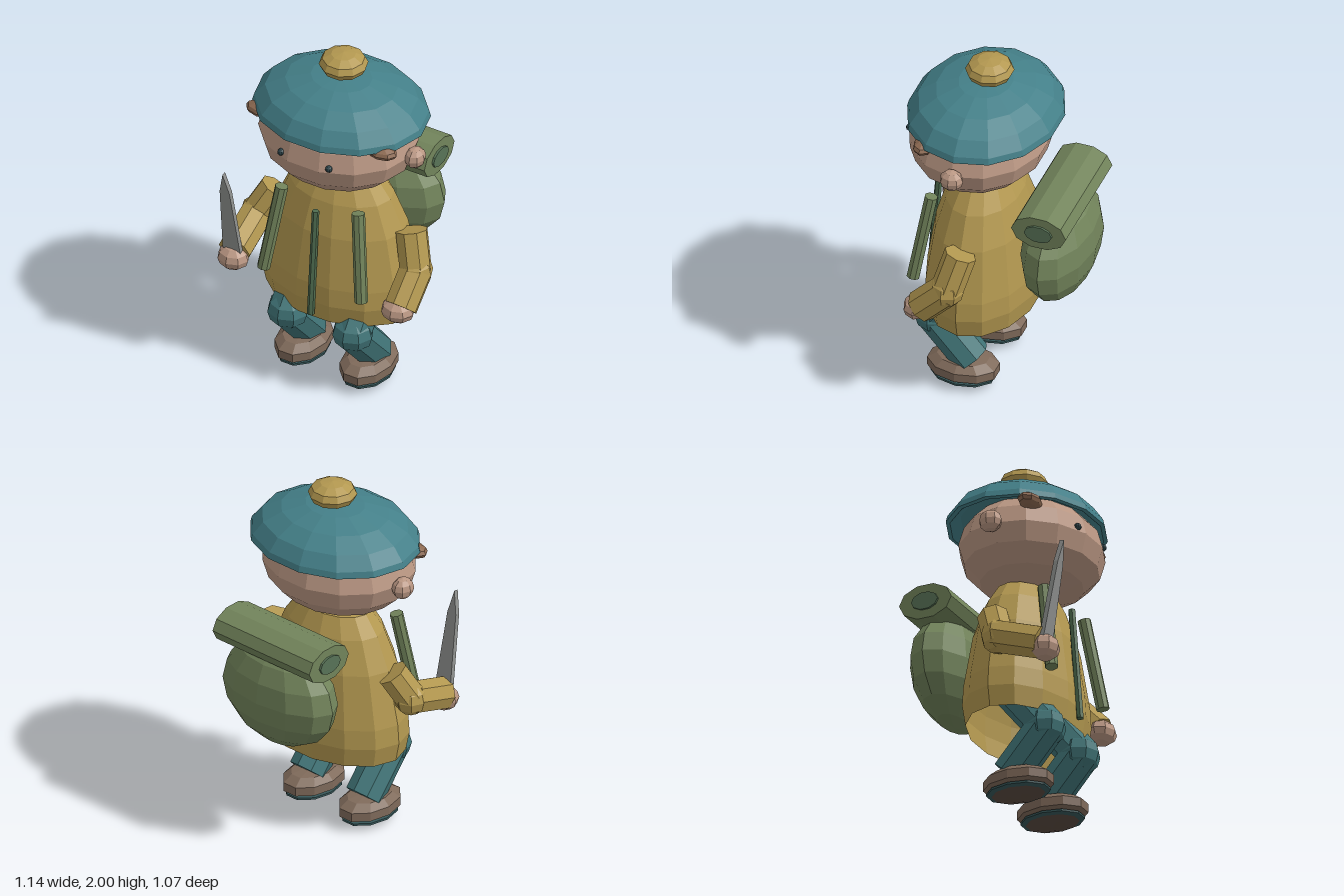
import * as THREE from 'three';

const V = (x, y, z) => new THREE.Vector3(x, y, z);
const mat = (color, side = THREE.FrontSide) =>
  new THREE.MeshStandardMaterial({ color, flatShading: true, side });

const M = {
  hat: mat(0x448089), coat: mat(0xb39850, THREE.DoubleSide), skin: mat(0xba9783), hair: mat(0x8d6a52),
  eye: mat(0x2c4248), trousers: mat(0x417578), shoe: mat(0x7f6a5a), sole: mat(0x365658), tread: mat(0x5a4a40),
  pack: mat(0x72845b), packDark: mat(0x587357), zip: mat(0x4f6d50), blade: mat(0x909290),
};

export function createModel() {
  const root = new THREE.Group();

  const add = (name, geometry, material, parent = root) => {
    const mesh = new THREE.Mesh(geometry, material);
    mesh.name = name;
    parent.add(mesh);
    return mesh;
  };

  // Faceted ellipsoid
  const ball = (name, pos, radii, material, sides = 10, rings = 6, parent = root) => {
    const mesh = add(name, new THREE.SphereGeometry(1, sides, rings), material, parent);
    mesh.position.copy(pos);
    mesh.scale.set(...radii);
    return mesh;
  };

  // Straight faceted rod between two points
  const rod = (name, a, b, r, material, sides = 8, parent = root) => {
    const d = b.clone().sub(a);
    const mesh = add(name, new THREE.CylinderGeometry(r, r, d.length(), sides), material, parent);
    mesh.position.copy(a).add(b).multiplyScalar(0.5);
    mesh.quaternion.setFromUnitVectors(V(0, 1, 0), d.normalize());
    return mesh;
  };

  // Lathe squashed to an oval in depth, with a flat facet at the front
  const oval = (name, profile, sides, depth, pos, material, parent = root) => {
    const points = profile.map(([r, y]) => new THREE.Vector2(r, y));
    const mesh = add(name, new THREE.LatheGeometry(points, sides, Math.PI / 2), material, parent);
    mesh.position.copy(pos);
    mesh.scale.z = depth;
    return mesh;
  };

  // Hat with pompom
  oval('hat', [[0, 1.74], [0.4, 1.69], [0.465, 1.645], [0.49, 1.65], [0.48, 1.685], [0.42, 1.757],
    [0.31, 1.817], [0.17, 1.857], [0, 1.872]], 14, 0.845, V(0, 0, 0.08), M.hat);
  ball('pompom', V(0, 1.93, 0.06), [0.132, 0.07, 0.13], M.coat, 10, 6);

  // Head
  ball('head', V(0, 1.515, 0.11), [0.44, 0.27, 0.378], M.skin, 14, 8);
  for (const s of [1, -1]) {
    ball('ear', V(s * 0.465, 1.515, 0.1), [0.055, 0.06, 0.065], M.skin, 8, 6);
    ball('eye', V(s * 0.147, 1.54, 0.455), [0.02, 0.02, 0.02], M.eye, 8, 6);
    ball('hairTuft', V(s * 0.37, 1.632, 0.285), [0.09, 0.038, 0.06], M.hair, 8, 6);
  }

  // Coat, open at the hem
  oval('coat', [[0.432, 0.46], [0.455, 0.57], [0.447, 0.68], [0.38, 0.98], [0.3, 1.16],
    [0.22, 1.265], [0, 1.275]], 14, 0.67, V(0, 0, 0.08), M.coat);
  rod('zip', V(0, 1.14, 0.345), V(0, 0.5, 0.395), 0.02, M.zip, 6);
  for (const s of [1, -1])
    rod('strap', V(s * 0.235, 1.185, 0.3), V(s * 0.3, 0.68, 0.378), 0.036, M.pack, 8);

  // Arms: the left hangs down, the right reaches forward
  const arm = (name, shoulder, elbow, wrist, hand, handSize) => {
    const g = new THREE.Group();
    g.name = name;
    root.add(g);
    rod('upperSleeve', shoulder, elbow, 0.088, M.coat, 8, g);
    ball('elbow', elbow, [0.094, 0.094, 0.094], M.coat, 8, 6, g);
    rod('lowerSleeve', elbow, wrist, 0.092, M.coat, 8, g);
    ball('hand', hand, handSize, M.skin, 8, 6, g);
  };
  arm('leftArm', V(0.42, 1.0, 0.065), V(0.48, 0.79, 0.12), V(0.475, 0.64, 0.265),
    V(0.468, 0.632, 0.285), [0.095, 0.066, 0.08]);
  arm('rightArm', V(-0.4, 0.98, 0.085), V(-0.475, 0.83, 0.15), V(-0.463, 0.745, 0.405),
    V(-0.46, 0.715, 0.42), [0.09, 0.07, 0.08]);

  // Blade held upright in the right hand
  const outline = new THREE.Shape([[-0.055, 0], [0.055, 0], [0.03, 0.46], [0, 0.59], [-0.03, 0.46]]
    .map(([x, y]) => new THREE.Vector2(x, y)));
  const bladeGeo = new THREE.ExtrudeGeometry(outline, { depth: 0.026, bevelEnabled: false });
  bladeGeo.translate(0, 0, -0.013);
  const blade = add('blade', bladeGeo, M.blade);
  blade.position.set(-0.46, 0.738, 0.422);
  blade.rotation.x = 0.166;

  // Legs with bent knees, and shoes
  for (const s of [1, -1]) {
    const leg = new THREE.Group();
    leg.name = s > 0 ? 'leftLeg' : 'rightLeg';
    leg.position.x = s * 0.2;
    root.add(leg);
    const knee = V(0, 0.39, 0.295);
    rod('thigh', V(0, 0.66, 0.08), knee, 0.105, M.trousers, 8, leg);
    ball('knee', knee, [0.115, 0.105, 0.108], M.trousers, 8, 6, leg);
    rod('shin', knee, V(0, 0.15, 0.085), 0.105, M.trousers, 8, leg);
    oval('shoe', [[0, 0.05], [0.105, 0.053], [0.137, 0.07], [0.137, 0.12], [0.1, 0.155], [0, 0.17]],
      10, 1.45, V(0, 0, 0.132), M.shoe, leg);
    oval('sole', [[0, 0.025], [0.11, 0.028], [0.127, 0.038], [0.127, 0.05], [0, 0.06]],
      10, 1.42, V(0, 0, 0.132), M.sole, leg);
    oval('tread', [[0, 0], [0.055, 0.01], [0.112, 0.03], [0, 0.035]],
      10, 1.42, V(0, 0, 0.132), M.tread, leg);
  }

  // Backpack with a bedroll on top
  ball('backpack', V(0, 0.9, -0.348), [0.375, 0.3, 0.19], M.pack, 12, 8);
  const roll = (name, length, ry, rz, material) => {
    const geo = new THREE.CylinderGeometry(1, 1, length, 10).rotateZ(Math.PI / 2);
    const mesh = add(name, geo, material);
    mesh.position.set(0, 1.193, -0.345);
    mesh.scale.set(1, ry, rz);
  };
  roll('bedroll', 0.69, 0.1, 0.154, M.pack);
  roll('bedrollCore', 0.714, 0.05, 0.078, M.packDark);

  return root;
}
